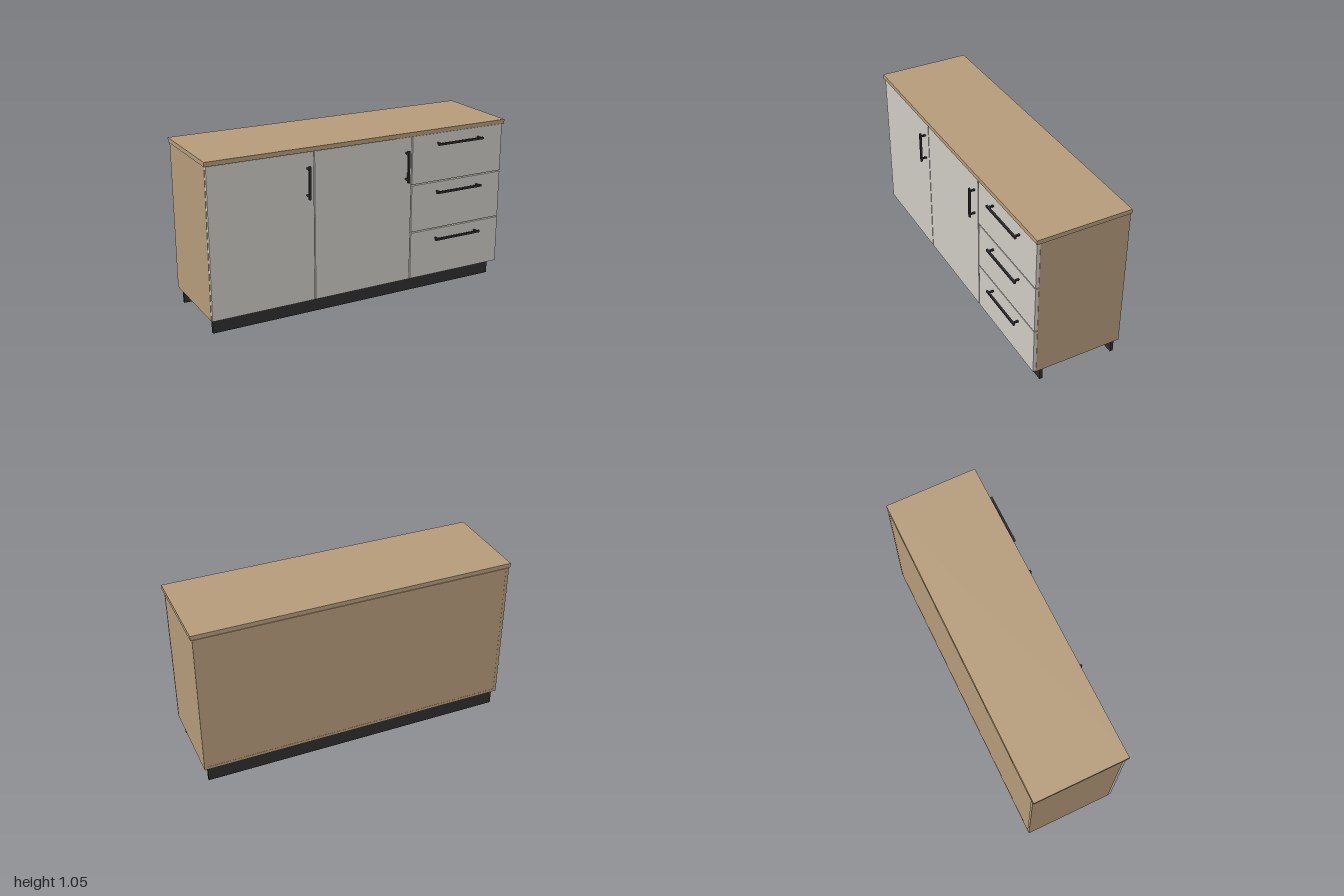
import * as THREE from 'three';

const wood = new THREE.MeshStandardMaterial({ color: 0xb59b7a });
const paint = new THREE.MeshStandardMaterial({ color: 0xcfcbc5 });
const black = new THREE.MeshStandardMaterial({ color: 0x2e2e2e });

// Box given by its limits on each axis
function panel(parent, name, material, [x0, x1], [y0, y1], [z0, z1]) {
  const mesh = new THREE.Mesh(new THREE.BoxGeometry(x1 - x0, y1 - y0, z1 - z0), material);
  mesh.position.set((x0 + x1) / 2, (y0 + y1) / 2, (z0 + z1) / 2);
  mesh.name = name;
  parent.add(mesh);
}

// Bar handle with two posts, lying along x and starting on the front face at z = 0
function barHandle(name, length, postSpan) {
  const handle = new THREE.Group();
  handle.name = name;
  const h = 0.0065;
  panel(handle, 'handleBar', black, [-length / 2, length / 2], [-h, h], [0.028, 0.04]);
  for (const s of [-1, 1]) {
    const x = s * postSpan / 2;
    panel(handle, 'handlePost', black, [x - 0.005, x + 0.005], [-0.005, 0.005], [0, 0.028]);
  }
  return handle;
}

export function createModel() {
  const model = new THREE.Group();
  model.name = 'sideboard';
  const t = 0.02, W = 0.99, y0 = 0.1, y1 = 1.025, back = -0.309, front = 0.25, face = 0.27;

  // Worktop
  panel(model, 'worktop', wood, [-1, 1], [1.028, 1.055], [back, 0.277]);

  // Carcass
  const carcass = new THREE.Group();
  carcass.name = 'carcass';
  model.add(carcass);
  for (const s of [-1, 1]) {
    const x = s * (W - t / 2);
    panel(carcass, 'sidePanel', wood, [x - t / 2, x + t / 2], [y0, y1], [back, front]);
    panel(carcass, 'partition', wood, [s * 0.33 - t / 2, s * 0.33 + t / 2], [y0 + t, y1 - t], [back + 0.01, front]);
  }
  const inner = [-W + t, W - t];
  panel(carcass, 'bottomPanel', wood, inner, [y0, y0 + t], [back, front]);
  panel(carcass, 'topPanel', wood, inner, [y1 - t, y1], [back, front]);
  panel(carcass, 'backPanel', wood, inner, [y0 + t, y1 - t], [back + 0.001, back + 0.01]);
  panel(carcass, 'drawerRail', wood, [0.34, W - t], [0.4, 0.42], [back + 0.01, front]);
  panel(carcass, 'drawerRail', wood, [0.34, W - t], [0.71, 0.73], [back + 0.01, front]);

  // Two doors with upright handles
  for (const [x0, x1, hx] of [[-0.988, -0.334, -0.377], [-0.328, 0.325, 0.285]]) {
    panel(model, 'door', paint, [x0, x1], [0.104, 1.025], [front, face]);
    const handle = barHandle('doorHandle', 0.2, 0.162);
    handle.rotation.z = Math.PI / 2;
    handle.position.set(hx, 0.85, face);
    model.add(handle);
  }

  // Three drawers with level handles
  for (const [a, b, hy] of [[0.104, 0.407, 0.347], [0.414, 0.715, 0.655], [0.722, 1.025, 0.963]]) {
    panel(model, 'drawerFront', paint, [0.332, 0.988], [a, b], [front, face]);
    const handle = barHandle('drawerHandle', 0.33, 0.295);
    handle.position.set(0.66, hy, face);
    model.add(handle);
  }

  // Front and back plinth boards
  for (const z of [0.202, -0.282]) {
    panel(model, 'plinth', black, [-0.967, 0.967], [0, y0], [z - 0.01, z + 0.01]);
  }
  return model;
}
